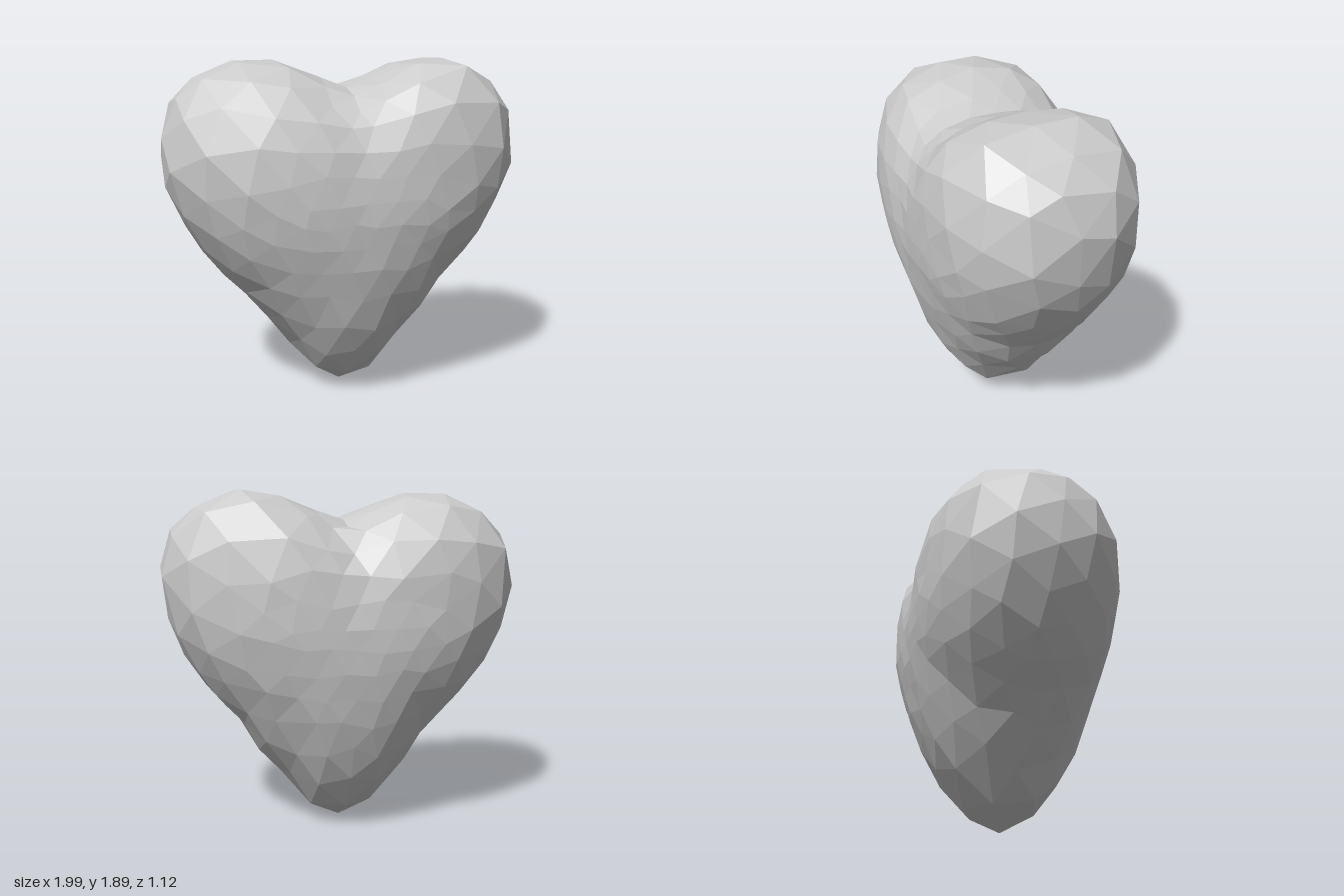
import * as THREE from 'three';
import { mergeVertices } from 'three/addons/utils/BufferGeometryUtils.js';

const CENTER_Y = 1.1;

// Heart outline, from the notch down the right side to the tip and back up
const OUTLINE = [
  [-0.001, 1.73], [-0.2, 1.8], [-0.4, 1.88], [-0.53, 1.87], [-0.83, 1.77], [-0.96, 1.6],
  [-1, 1.32], [-0.9, 1.04], [-0.8, 0.86], [-0.66, 0.69], [-0.5, 0.54], [-0.32, 0.28],
  [-0.15, 0.06], [0, 0], [0.19, 0.08], [0.28, 0.23], [0.56, 0.59], [0.68, 0.72],
  [0.8, 0.88], [0.93, 1.12], [1, 1.39], [0.92, 1.68], [0.66, 1.87], [0.4, 1.87],
  [0.2, 1.78], [0.001, 1.73],
].map(([x, y]) => [Math.atan2(x, CENTER_Y - y), Math.hypot(x, y - CENTER_Y)]);

// Roundness of the bulge at stops from the tip over flank, side and lobe to the notch
const STOPS = [0, 0.15, 0.3, 0.5, 0.62, 0.8, 0.89, 1];
const bulge = (...values) => STOPS.map((stop, i) => [stop, values[i]]);
const FRONT = {
  plusX: bulge(1.75, 2, 2.2, 2.6, 3, 3.7, 2.7, 2.8),
  minusX: bulge(1.75, 2.05, 2.3, 2.5, 2.6, 2.5, 2.2, 2.8),
};
const BACK = {
  plusX: bulge(1.75, 2.05, 2.3, 2.5, 2.6, 3.3, 2.9, 2.4),
  minusX: bulge(1.75, 2, 2.2, 2.5, 2.6, 3.3, 2.9, 2.4),
};

function lookUp(table, t) {
  let i = 1;
  while (i < table.length - 1 && table[i][0] < t) i++;
  const [a, va] = table[i - 1];
  const [b, vb] = table[i];
  return THREE.MathUtils.lerp(va, vb, THREE.MathUtils.clamp((t - a) / (b - a), 0, 1));
}

function seeded(seed) {
  return () => {
    seed = (seed * 16807) % 2147483647;
    return (seed / 2147483647) * 2 - 1;
  };
}

// Distance from the centre to the heart surface along a unit direction
function heartRadius(d) {
  const angle = Math.atan2(d.x, -d.y);
  const half = d.z > 0 ? FRONT : BACK;
  const p = lookUp(d.x > 0 ? half.plusX : half.minusX, Math.abs(angle) / Math.PI);
  const planar = Math.hypot(d.x, d.y) / lookUp(OUTLINE, angle);
  const depth = Math.abs(d.z) / (0.55 + 0.03 * Math.abs(d.x)); // lobes are deeper than the middle
  return Math.pow(Math.pow(planar, p) + Math.pow(depth, p), -1 / p);
}

function heartGeometry() {
  let ball = new THREE.IcosahedronGeometry(1, 4);
  ball.rotateY(Math.PI / 2); // puts a row of edges along the notch
  ball.rotateX(0.123); // puts a single corner at the tip
  ball.deleteAttribute('uv');
  ball.deleteAttribute('normal');
  ball = mergeVertices(ball, 1e-3);

  const pos = ball.attributes.position;
  const d = new THREE.Vector3();
  const random = seeded(4217);
  for (let i = 0; i < pos.count; i++) {
    d.fromBufferAttribute(pos, i);
    // Uneven facets, while the notch and tip stay on the middle plane
    if (Math.abs(d.x) < 1e-3) {
      d.x = 0;
    } else {
      d.x += random() * 0.035;
      d.y += random() * 0.035;
      d.z += random() * 0.035;
    }
    // Smaller facets round off the tip
    const pinch = 1 - 0.2 * Math.pow(Math.max(0, -d.y), 4);
    d.x *= pinch;
    d.z *= pinch;
    d.normalize();
    d.multiplyScalar(heartRadius(d) * (1.006 + random() * 0.006));
    pos.setXYZ(i, d.x, d.y, d.z);
  }

  // Stand the tip on the floor
  ball.computeBoundingBox();
  ball.translate(0, -ball.boundingBox.min.y, 0);

  const faceted = ball.toNonIndexed();
  faceted.computeVertexNormals();
  return faceted;
}

export function createModel() {
  const group = new THREE.Group();
  group.name = 'lowPolyHeart';
  const heart = new THREE.Mesh(
    heartGeometry(),
    new THREE.MeshStandardMaterial({ color: 0xcccccc, flatShading: true })
  );
  heart.name = 'heart';
  group.add(heart);
  return group;
}
